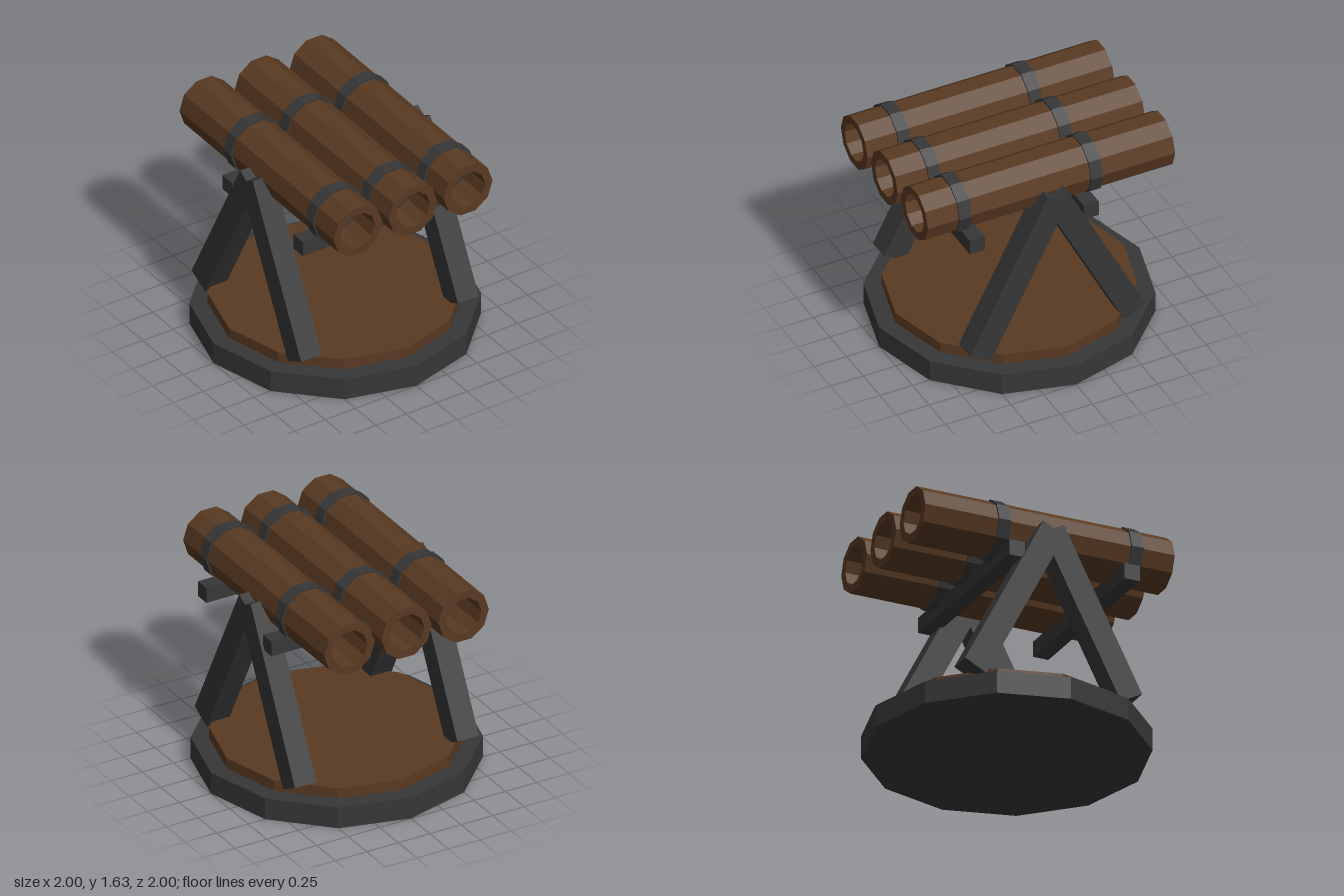
import * as THREE from 'three';

export function createModel() {
  const group = new THREE.Group();
  const wood = new THREE.MeshStandardMaterial({ color: 0x593a22, flatShading: true });
  wood.name = 'brown wood';
  const iron = new THREE.MeshStandardMaterial({ color: 0x373737, flatShading: true });
  iron.name = 'dark iron';

  const add = (name, geometry, material, x, y, z, parent = group) => {
    const mesh = new THREE.Mesh(geometry, material);
    mesh.name = name;
    mesh.position.set(x, y, z);
    parent.add(mesh);
    return mesh;
  };

  // Twelve-sided base with a wooden deck on top
  add('base', new THREE.CylinderGeometry(1, 1, 0.163, 12), iron, 0, 0.0815, 0);
  add('deck', new THREE.CylinderGeometry(0.875, 0.875, 0.08, 12), wood, 0, 0.202, 0);

  // A-frame legs on both sides
  const legGeometry = new THREE.BoxGeometry(0.17, 1.3, 0.183);
  for (const side of [-1, 1]) {
    const frame = new THREE.Group();
    frame.name = side > 0 ? 'leftFrame' : 'rightFrame';
    group.add(frame);
    for (const end of [-1, 1]) {
      const leg = add(end > 0 ? 'frontLeg' : 'backLeg', legGeometry, iron,
        side * 0.645, 0.822, end * 0.295, frame);
      leg.rotation.x = -end * 0.476;
    }
  }

  // Beams that carry the barrels
  const beamGeometry = new THREE.BoxGeometry(1.42, 0.115, 0.115);
  add('frontBeam', beamGeometry, iron, 0, 1.203, 0.608);
  add('backBeam', beamGeometry, iron, 0, 1.203, -0.268);

  // Ten-sided hollow barrels with a corner on each side, closed inside by solid bands
  const profile = [[0.14, -0.95], [0.2, -0.95], [0.2, 0.95], [0.14, 0.95], [0.14, -0.95]]
    .map(([r, y]) => new THREE.Vector2(r, y));
  const lieDown = (geometry) => geometry.rotateY(Math.PI / 2).rotateX(Math.PI / 2);
  const barrelGeometry = lieDown(new THREE.LatheGeometry(profile, 10));
  const bandGeometry = lieDown(new THREE.CylinderGeometry(0.213, 0.213, 0.093, 10));
  for (const x of [-0.453, 0, 0.453]) {
    const tube = new THREE.Group();
    tube.name = 'barrelWithBands';
    tube.position.set(x, 1.425, 0);
    group.add(tube);
    add('barrel', barrelGeometry, wood, 0, 0, 0.01, tube);
    add('frontBand', bandGeometry, iron, 0, 0, 0.674, tube);
    add('backBand', bandGeometry, iron, 0, 0, -0.336, tube);
  }

  return group;
}
